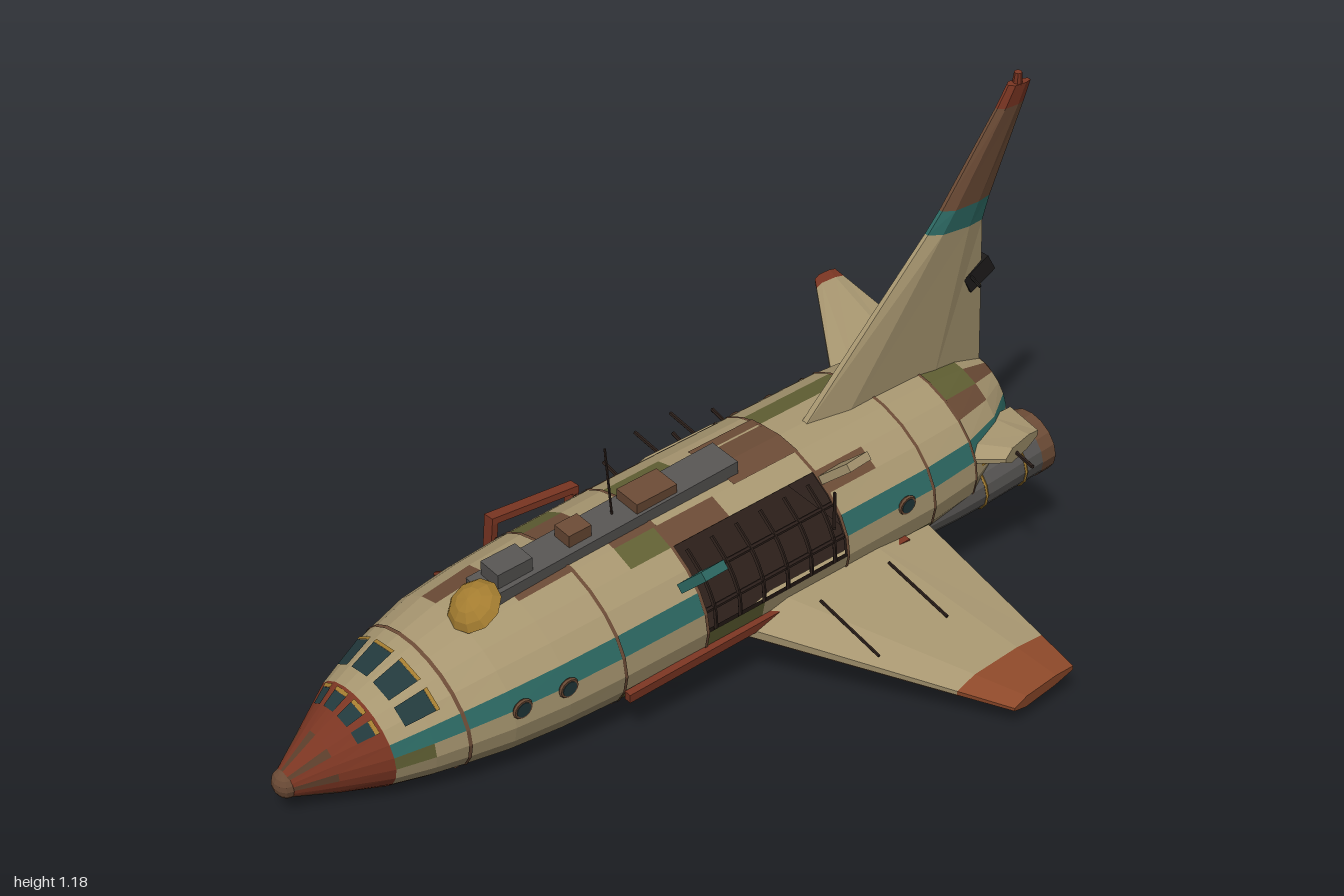
import * as THREE from 'three';

const C = {
  cream: 0xa6956f, teal: 0x2c6862, red: 0x7a3522, rust: 0x8c4829, brown: 0x6a4a35, umber: 0x5a3d2a,
  olive: 0x605f33, grey: 0x565452, dark: 0x2a1e19, gold: 0xa37c30, black: 0x1c1a19, glass: 0x22393c,
};

function add(parent, name, geo, color, pos = [0, 0, 0], rot = [0, 0, 0]) {
  const m = new THREE.Mesh(geo, new THREE.MeshStandardMaterial({ color, side: THREE.DoubleSide, flatShading: true }));
  m.name = name;
  m.position.set(...pos);
  m.rotation.set(...rot);
  parent.add(m);
  return m;
}
const box = (g, name, size, color, pos, rot) => add(g, name, new THREE.BoxGeometry(...size), color, pos, rot);

// Thin bar between two points
function rod(parent, name, a, b, r, color) {
  const p = new THREE.Vector3(...a), q = new THREE.Vector3(...b), d = q.clone().sub(p);
  const m = add(parent, name, new THREE.CylinderGeometry(r, r, d.length(), 6), color);
  m.position.copy(p).add(q).multiplyScalar(0.5);
  m.quaternion.setFromUnitVectors(new THREE.Vector3(0, 1, 0), d.normalize());
}

// Hull stations: z, half width, half height, centre y
const RINGS = [
  [0.985, 0.03, 0.033, -0.05], [0.9, 0.078, 0.073, -0.038], [0.8, 0.138, 0.11, -0.022],
  [0.7, 0.177, 0.137, -0.01], [0.55, 0.215, 0.163, 0], [0.42, 0.23, 0.175, 0], [0.28, 0.238, 0.182, 0],
  [0, 0.243, 0.187, 0], [-0.6, 0.243, 0.185, 0], [-0.74, 0.23, 0.179, 0], [-0.86, 0.182, 0.153, 0],
  [-0.95, 0.11, 0.105, 0.01],
];
// Point on the hull at station z and elevation a (degrees, 0 = left side, 90 = top)
function hullPoint(z, a, k = 1) {
  let i = 0;
  while (i < RINGS.length - 2 && z < RINGS[i + 1][0]) i++;
  const [p, q] = [RINGS[i], RINGS[i + 1]], t = (p[0] - z) / (p[0] - q[0]);
  const v = p.map((n, j) => n + (q[j] - n) * t), r = (a * Math.PI) / 180;
  return [v[1] * k * Math.cos(r), v[3] + v[2] * k * Math.sin(r), z];
}
// Hull plates: each is [zFront, zBack, angle0, angle1]
function plates(list, k = 1) {
  const pos = [];
  for (const [zf, zb, a0, a1] of list) {
    const [A, B, D, E] = [[zf, a0], [zb, a0], [zb, a1], [zf, a1]].map(([z, a]) => hullPoint(z, a, k));
    pos.push(...A, ...B, ...D, ...A, ...D, ...E);
  }
  const g = new THREE.BufferGeometry();
  g.setAttribute('position', new THREE.Float32BufferAttribute(pos, 3));
  g.computeVertexNormals();
  return g;
}

// Wing or fin piece between two foil sections: {lead, trail, half} (half = thickness vector)
function foilPiece(parent, name, s0, s1, color) {
  const ring = ({ lead, trail, half }) =>
    [[0, 0.25], [0.2, 1], [0.7, 0.9], [1, 0.35], [1, -0.35], [0.7, -0.9], [0.2, -1], [0, -0.25]]
      .map(([u, h]) => lead.map((n, i) => n + (trail[i] - n) * u + half[i] * h));
  const r = [ring(s0), ring(s1)], idx = [], n = 8;
  for (let i = 0; i < n; i++) {
    const j = (i + 1) % n;
    idx.push(i, j, n + j, i, n + j, n + i);
    if (i > 0 && i < n - 1) idx.push(0, i + 1, i, n, n + i, n + i + 1);
  }
  const g = new THREE.BufferGeometry();
  g.setAttribute('position', new THREE.Float32BufferAttribute(r.flat(2), 3));
  g.setIndex(idx);
  add(parent, name, g.toNonIndexed(), color).geometry.computeVertexNormals();
}
const lerpFoil = (a, b, t) => Object.fromEntries(
  Object.keys(a).map((k) => [k, a[k].map((n, i) => n + (b[k][i] - n) * t)]));

function buildHull(ship) {
  const Z = [0.985, 0.9, 0.8, 0.72, 0.65, 0.55, 0.42, 0.28, 0.17, 0.06, -0.1, -0.22, -0.34, -0.48, -0.6, -0.74, -0.86, -0.95];
  const hash = (i, j) => { const n = Math.sin(i * 12.99 + j * 78.23) * 43758.5; return n - Math.floor(n); };
  const bins = {}, inner = [];
  for (let i = 0; i < Z.length - 1; i++) for (let j = 0; j < 24; j++) {
    const a0 = -90 + j * 15, a1 = a0 + 15, zm = (Z[i] + Z[i + 1]) / 2, mid = a0 + 7.5;
    const el = mid > 90 ? 180 - mid : mid, left = mid < 90;
    if (left && el > 0 && el < 60 && zm < 0.06 && zm > -0.34) continue; // open cargo bay
    if (!left && Math.abs(el) < 30 && zm < 0.28 && zm > 0.06) continue; // doorway
    if (zm < 0.55 && zm > -0.74) inner.push([Z[i], Z[i + 1], a0, a1]);
    const h = hash(i + 1, j + 1);
    let c = h < 0.05 ? 'olive' : h < 0.1 ? 'brown' : 'cream';
    if (el < -30) c = h < 0.2 ? 'umber' : 'brown';
    else if (el > 15 && el < 30) c = 'teal';
    if (zm < -0.74 && zm > -0.86 && el > 45) c = j % 3 ? 'olive' : 'brown';
    if (mid > 105 && mid < 120 && zm < -0.34 && zm > -0.6) c = 'olive';
    if (zm > 0.8) c = zm > 0.9 && j % 3 === 0 ? 'umber' : 'red';
    (bins[c] ||= []).push([Z[i], Z[i + 1], a0, a1]);
  }
  for (const c in bins) add(ship, 'hullPlates_' + c, plates(bins[c]), C[c]);
  add(ship, 'hullInterior', plates(inner, 0.96), C.dark);
  add(ship, 'noseCap', new THREE.SphereGeometry(0.033, 12, 8).scale(1, 1, 0.8), C.brown, [0, -0.05, 0.983]);
  add(ship, 'tailPlate', new THREE.CircleGeometry(0.108, 16), C.brown, [0, 0.01, -0.95], [0, Math.PI, 0]);
  add(ship, 'roofPatch', plates([[-0.16, -0.345, 75, 90], [-0.16, -0.345, 90, 112]], 1.015), C.brown);

  // Hoops around the hull seams
  for (const z of [0.65, 0.28, 0.06, -0.34, -0.6, -0.74]) {
    const band = [];
    for (let a = -90; a < 270; a += 15) band.push([z + 0.004, z - 0.004, a, a + 15]);
    add(ship, 'hullHoop', plates(band, 1.012), C.brown);
  }
  // Cockpit windows in two rows
  for (const [zf, zb, spans] of [[0.76, 0.695, [[40, 58], [65, 86], [94, 115], [122, 140]]],
    [0.85, 0.815, [[45, 60], [68, 86], [94, 112], [120, 135]]]]) {
    add(ship, 'cockpitWindows', plates(spans.map((s) => [zf, zb, ...s]), 1.025), C.glass);
    add(ship, 'windowSill', plates(spans.map((s) => [zb, zb - 0.008, ...s]), 1.03), C.gold);
  }
  // Portholes and side rails
  for (const [s, stations] of [[1, [0.53, 0.42, -0.52]], [-1, [-0.42, -0.52, -0.62]]]) {
    for (const z of stations) {
      const [x, y] = hullPoint(z, 14);
      add(ship, 'portholeRim', new THREE.TorusGeometry(0.02, 0.005, 6, 14), C.brown, [s * x, y, z], [0, Math.PI / 2, 0]);
      add(ship, 'portholeGlass', new THREE.CylinderGeometry(0.018, 0.018, 0.012, 14), C.glass, [s * x, y, z], [0, 0, Math.PI / 2]);
    }
    box(ship, 'sideRail', [0.018, 0.022, 0.8], C.red, [s * 0.242, -0.055, -0.12]);
  }
  // Bay ribs, longerons and floor
  for (let i = 0; i < 6; i++) {
    const pts = [-5, 15, 35, 55].map((a) => new THREE.Vector3(...hullPoint(0.03 - i * 0.068, a, 0.97)));
    add(ship, 'bayRib', new THREE.TubeGeometry(new THREE.CatmullRomCurve3(pts), 8, 0.005, 5), C.dark);
  }
  for (const a of [15, 38]) rod(ship, 'bayLongeron', hullPoint(0.06, a, 0.96), hullPoint(-0.34, a, 0.96), 0.006, C.dark);
  box(ship, 'deck', [0.42, 0.01, 0.8], C.dark, [0, -0.07, -0.05]);
}

function buildWings(ship) {
  // Left wing with painted tip and brown underside
  const root = { lead: [0.2, -0.07, -0.04], trail: [0.2, -0.07, -0.6], half: [0, 0.045, 0] };
  const tip = { lead: [0.742, -0.12, -0.375], trail: [0.727, -0.12, -0.565], half: [0, 0.016, 0] };
  const cut = lerpFoil(root, tip, 0.8);
  foilPiece(ship, 'leftWing', root, cut, C.cream);
  foilPiece(ship, 'leftWingTip', cut, tip, C.rust);
  const under = ({ lead: [x, y, z], trail: [u, v, w], half }) =>
    ({ lead: [x, y - 0.005, z - 0.004], trail: [u, v - 0.005, w + 0.004], half });
  foilPiece(ship, 'leftWingUnderside', under(root), under(cut), C.brown);
  for (const z of [-0.22, -0.42]) rod(ship, 'wingSeam', [0.29, -0.032, z], [0.48, -0.06, z], 0.004, C.dark);
  // Torn right wing root
  const rRoot = { ...root, lead: [-0.2, -0.07, -0.04], trail: [-0.2, -0.07, -0.6] };
  const rEnd = { lead: [-0.35, -0.075, -0.17], trail: [-0.35, -0.075, -0.56], half: [0, 0.03, 0] };
  foilPiece(ship, 'rightWingStub', rRoot, rEnd, C.cream);
  for (const z of [-0.17, -0.3, -0.36, -0.41, -0.49]) {
    const k = Math.sin(z * 40);
    rod(ship, 'brokenSpar', [-0.3, -0.075, z], [-0.43 - 0.02 * k, -0.06 + 0.02 * k, z + 0.02 * k], 0.005, C.dark);
    rod(ship, 'hangingCable', [-0.345, -0.08, z], [-0.4 - 0.02 * k, -0.2, z + 0.03], 0.003, C.dark);
  }
  // Tailplanes: right complete, left broken off
  const tRoot = { lead: [-0.19, 0.04, -0.68], trail: [-0.15, 0.04, -0.955], half: [0, 0.027, 0] };
  const tTip = { lead: [-0.495, 0.083, -0.89], trail: [-0.495, 0.083, -0.955], half: [0, 0.01, 0] };
  const tCut = lerpFoil(tRoot, tTip, 0.91);
  foilPiece(ship, 'rightTailplane', tRoot, tCut, C.cream);
  foilPiece(ship, 'rightTailplaneTip', tCut, tTip, C.red);
  const lRoot = { ...tRoot, lead: [0.17, 0.04, -0.69], trail: [0.13, 0.04, -0.94] };
  const lEnd = { lead: [0.27, 0.052, -0.79], trail: [0.24, 0.05, -0.92], half: [0, 0.022, 0] };
  foilPiece(ship, 'leftTailplaneStub', lRoot, lEnd, C.cream);
  rod(ship, 'brokenSpar', [0.23, 0.045, -0.84], [0.325, 0.055, -0.82], 0.005, C.dark);

  // Tail fin in four painted pieces: lead y,z / trail y,z / half thickness
  const fin = [[0.165, -0.4, 0.11, -0.95, 0.03], [0.539, -0.764, 0.511, -0.93, 0.019], [0.585, -0.804, 0.57, -0.948, 0.018],
    [0.79, -0.955, 0.781, -1.035, 0.013], [0.838, -0.985, 0.828, -1.052, 0.012]]
    .map(([a, b, c, d, t]) => ({ lead: [0, a, b], trail: [0, c, d], half: [t, 0, 0] }));
  ['cream', 'teal', 'brown', 'red'].forEach((c, i) => foilPiece(ship, 'tailFin_' + c, fin[i], fin[i + 1], C[c]));
  add(ship, 'finBeacon', new THREE.CylinderGeometry(0.009, 0.012, 0.03, 8), C.red, [0, 0.845, -1.015]);
  box(ship, 'finBox', [0.05, 0.045, 0.08], C.black, [-0.008, 0.365, -0.926], [0.45, 0, 0.14]);
  rod(ship, 'finBoxArm', [-0.04, 0.39, -0.9], [0.045, 0.36, -0.9], 0.004, C.black);
}

function buildEngines(ship) {
  const profile = [[0, 0.2], [0.056, 0.2], [0.066, 0.1], [0.072, 0], [0.077, -0.19], [0.066, -0.19], [0.056, -0.1], [0, -0.1]]
    .map((p) => new THREE.Vector2(...p));
  for (const s of [1, -1]) {
    const e = new THREE.Group();
    e.name = 'engine';
    e.position.set(s * 0.16, -0.067, -0.8);
    e.rotation.x = Math.PI / 2 + 0.083;
    add(e, 'engineShell', new THREE.LatheGeometry(profile, 16), C.grey);
    add(e, 'nozzleLining', new THREE.CylinderGeometry(0.055, 0.065, 0.085, 16, 1, true), C.umber, [0, -0.146, 0]);
    add(e, 'nozzleCollar', new THREE.CylinderGeometry(0.078, 0.079, 0.04, 16, 1, true), C.brown, [0, -0.17, 0]);
    for (const [y, r] of [[-0.1, 0.075], [0.02, 0.071]])
      add(e, 'engineBand', new THREE.TorusGeometry(r, 0.004, 5, 16), C.gold, [0, y, 0], [Math.PI / 2, 0, 0]);
    ship.add(e);
    rod(ship, 'fuelPipe', [s * 0.215, 0.01, -0.68], [s * 0.2, 0.02, -0.93], 0.006, C.gold);
  }
}

function buildSpine(ship) {
  // Equipment rack along the roof
  box(ship, 'roofRack', [0.085, 0.04, 0.67], C.grey, [0, 0.188, 0.145], [0.03, 0, 0]);
  for (const [z, w, l, c] of [[0.03, 0.07, 0.11, C.brown], [0.23, 0.05, 0.06, C.brown], [0.405, 0.06, 0.09, C.grey]])
    box(ship, 'rackUnit', [w, 0.045, l], c, [0, 0.213, z]);
  rod(ship, 'antenna', [0, 0.2, 0.125], [-0.045, 0.35, 0.107], 0.003, C.dark);
  // Dish, turned over with its crown up and forward
  const dish = [[0, 0], [0.03, 0.006], [0.05, 0.018], [0.063, 0.034]].map((p) => new THREE.Vector2(...p));
  add(ship, 'dish', new THREE.LatheGeometry(dish, 10), C.gold, [0.03, 0.217, 0.53], [Math.PI + 0.55, 0, 0]);
  rod(ship, 'dishMount', [0.02, 0.16, 0.49], [0.03, 0.21, 0.525], 0.01, C.grey);
}

export function createModel() {
  const root = new THREE.Group();
  root.name = 'wreckedSpaceplane';
  const ship = new THREE.Group();
  ship.name = 'ship';
  ship.position.set(-0.125, 0.23, 0);
  ship.rotation.set(0.11, 0, -0.14); // settled nose down and leaning
  root.add(ship);
  buildHull(ship);
  buildWings(ship);
  buildEngines(ship);
  buildSpine(ship);

  // Doorway frame and lowered ramp
  for (const z of [0.06, 0.28]) box(root, 'doorPost', [0.03, 0.215, 0.016], C.red, [-0.365, 0.24, z], [0, 0, -0.11]);
  for (const [x, y] of [[-0.377, 0.14], [-0.353, 0.345]]) box(root, 'doorBeam', [0.03, 0.016, 0.236], C.red, [x, y, 0.17]);
  box(root, 'ramp', [0.235, 0.012, 0.21], C.grey, [-0.48, 0.14, 0.17], [0, 0, 0.435]);
  for (const z of [0.065, 0.275]) rod(root, 'rampRail', [-0.375, 0.195, z], [-0.585, 0.095, z], 0.007, C.red);
  for (let i = 0; i < 5; i++) box(root, 'rampTread', [0.005, 0.006, 0.15], C.dark, [-0.41 - i * 0.037, 0.18 - i * 0.0172, 0.17], [0, 0, 0.435]);

  // Bent bay doors, loose belly plate and stray bars
  box(root, 'bentDoorTeal', [0.09, 0.022, 0.07], C.teal, [0.12, 0.34, 0.075], [0, 0.15, 0.7]);
  box(root, 'bentDoorCream', [0.095, 0.02, 0.075], C.cream, [0.072, 0.427, -0.365], [0, 0.2, 0.65]);
  rod(root, 'strayBar', [0.08, 0.38, -0.33], [0.17, 0.36, -0.25], 0.004, C.dark);
  box(root, 'bellyPlate', [0.13, 0.05, 0.26], C.cream, [-0.315, 0.085, -0.12], [0.1, 0, -0.12]);
  rod(root, 'strayBar', [-0.36, 0.08, -0.1], [-0.46, 0.085, 0], 0.005, C.dark);
  rod(root, 'strayBar', [-0.37, 0.2, 0], [-0.47, 0.22, -0.02], 0.005, C.dark);
  return root;
}
